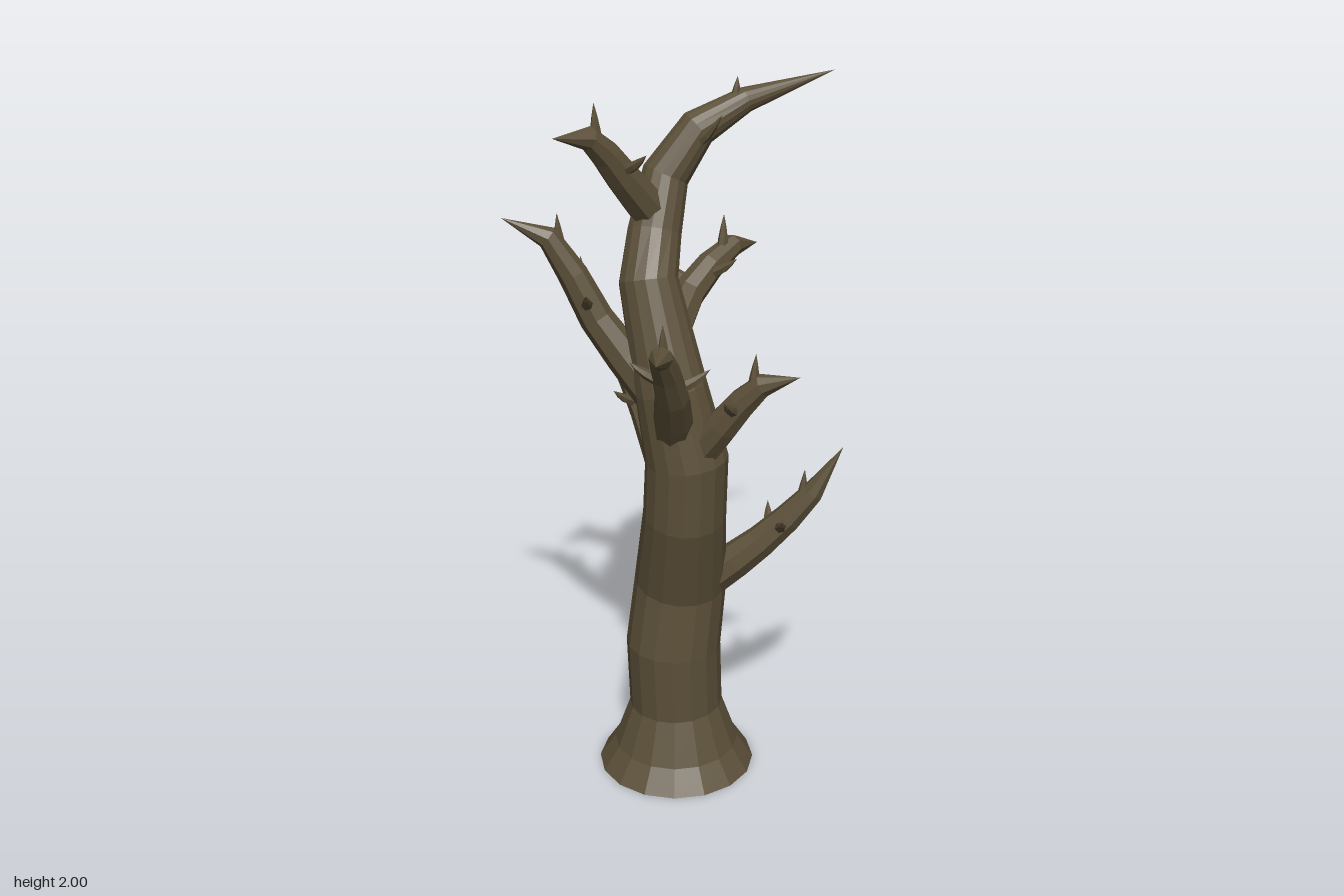
import * as THREE from 'three';

const bark = new THREE.MeshStandardMaterial({ color: 0x5c5039, flatShading: true, side: THREE.DoubleSide });
const V = (x, y, z) => new THREE.Vector3(x, y, z);

// Tapered limb: one ring per centre point, open at the base
function limb(name, pts, radii, sides) {
  const n = pts.length, pos = [], idx = [];
  const side = V(1, 0, 0);
  let prev = null;
  pts.forEach((p, i) => {
    const tan = pts[Math.min(i + 1, n - 1)].clone().sub(pts[Math.max(i - 1, 0)]).normalize();
    if (prev) side.applyQuaternion(new THREE.Quaternion().setFromUnitVectors(prev, tan));
    else if (Math.abs(tan.x) > 0.9) side.set(0, 0, 1);
    side.addScaledVector(tan, -side.dot(tan)).normalize();
    prev = tan;
    const other = side.clone().cross(tan);
    for (let k = 0; k < sides; k++) {
      const a = (k / sides) * Math.PI * 2, r = radii[i];
      const v = p.clone().addScaledVector(side, Math.cos(a) * r).addScaledVector(other, Math.sin(a) * r);
      pos.push(v.x, v.y, v.z);
      if (i < n - 1) {
        const a0 = i * sides + k, b0 = i * sides + (k + 1) % sides;
        idx.push(a0, a0 + sides, b0);
        if (radii[i + 1] > 0) idx.push(b0, a0 + sides, b0 + sides);
      }
    }
  });
  const g = new THREE.BufferGeometry();
  g.setAttribute('position', new THREE.Float32BufferAttribute(pos, 3));
  g.setIndex(idx);
  g.computeVertexNormals();
  const mesh = new THREE.Mesh(g, bark);
  mesh.name = name;
  return mesh;
}

// Thorn leaving its base sideways and curling upward
function thorn(base, reach) {
  const pts = [0, 0.35, 0.6, 0.8, 1].map((s) =>
    base.clone().add(V(reach.x * s, reach.y * Math.pow(s, 1.7), reach.z * s)));
  return limb('thorn', pts, [0.018, 0.016, 0.013, 0.008, 0], 6);
}

// Branch curved through base, middle, elbow and tip, with a thorn on each side and one on top
function branch(name, ...corners) {
  const curve = new THREE.CatmullRomCurve3(corners.map((c) => V(...c)));
  const pts = [0, 1 / 6, 1 / 3, 1 / 2, 2 / 3, 1].map((t) => curve.getPoint(t));
  const heading = pts[5].clone().sub(pts[0]).setY(0).normalize();
  const across = V(-heading.z, 0, heading.x);
  const group = new THREE.Group();
  group.name = name;
  group.add(limb('limb', pts, [0.056, 0.052, 0.046, 0.04, 0.031, 0], 8));
  for (const s of [-1, 1]) {
    const reach = across.clone().multiplyScalar(s * 0.1).addScaledVector(heading, 0.012 * s);
    group.add(thorn(curve.getPoint(0.42 + s * 0.03), reach.setY(0.055)));
  }
  group.add(thorn(curve.getPoint(0.58), V(heading.x * 0.01, 0.11, heading.z * 0.01)));
  return group;
}

// Trunk with a flared foot, leaning back and then sweeping out to a pointed top
function trunk() {
  const stations = [
    [-0.035, 0, -0.053, 0.226], [-0.035, 0.07, -0.053, 0.18], [-0.037, 0.2, -0.052, 0.134],
    [-0.047, 0.4, -0.05, 0.135], [-0.03, 0.6, -0.037, 0.13], [-0.082, 0.85, 0.035, 0.114],
    [-0.088, 1.02, 0.05, 0.113], [-0.118, 1.22, 0.022, 0.098], [-0.115, 1.5, -0.065, 0.079],
    [-0.055, 1.61, -0.105, 0.072], [0, 1.75, -0.12, 0.064], [0.075, 1.87, -0.075, 0.052],
    [0.19, 1.935, -0.015, 0.034], [0.405, 2, 0.102, 0],
  ];
  const group = new THREE.Group();
  group.name = 'trunk';
  group.add(
    limb('stem', stations.map(([x, y, z]) => V(x, y, z)), stations.map((s) => s[3]), 16),
    thorn(V(0.04, 1.82, -0.09), V(0.03, 0.1, 0.11)),
    thorn(V(0.16, 1.915, -0.03), V(0.005, 0.085, 0.01)),
  );
  return group;
}

export function createModel() {
  const tree = new THREE.Group();
  tree.name = 'deadTree';
  tree.add(
    trunk(),
    branch('lowerFrontBranch', [0.02, 0.62, 0.04], [0.105, 0.735, 0.145], [0.2, 0.89, 0.25], [0.25, 1.03, 0.312]),
    branch('leftBranch', [-0.1, 1.31, -0.02], [0.065, 1.415, -0.1], [0.24, 1.51, -0.107], [0.355, 1.49, -0.125]),
    branch('rightBackBranch', [-0.14, 1.2, -0.02], [-0.225, 1.4, -0.15], [-0.31, 1.62, -0.235], [-0.393, 1.67, -0.322]),
    branch('upperRightBranch', [-0.03, 1.63, -0.11], [-0.15, 1.77, -0.118], [-0.26, 1.89, -0.125], [-0.382, 1.91, -0.118]),
    branch('rightFrontBranch', [-0.13, 1.08, 0.04], [-0.225, 1.26, 0.14], [-0.32, 1.405, 0.2], [-0.412, 1.43, 0.282]),
    branch('frontBranch', [-0.1, 0.99, 0.05], [-0.07, 1.145, 0.168], [-0.025, 1.275, 0.27], [0.015, 1.31, 0.362]),
    branch('backBranch', [-0.08, 0.9, -0.01], [-0.055, 1.09, -0.145], [-0.04, 1.2, -0.26], [-0.018, 1.21, -0.364]),
  );
  return tree;
}
